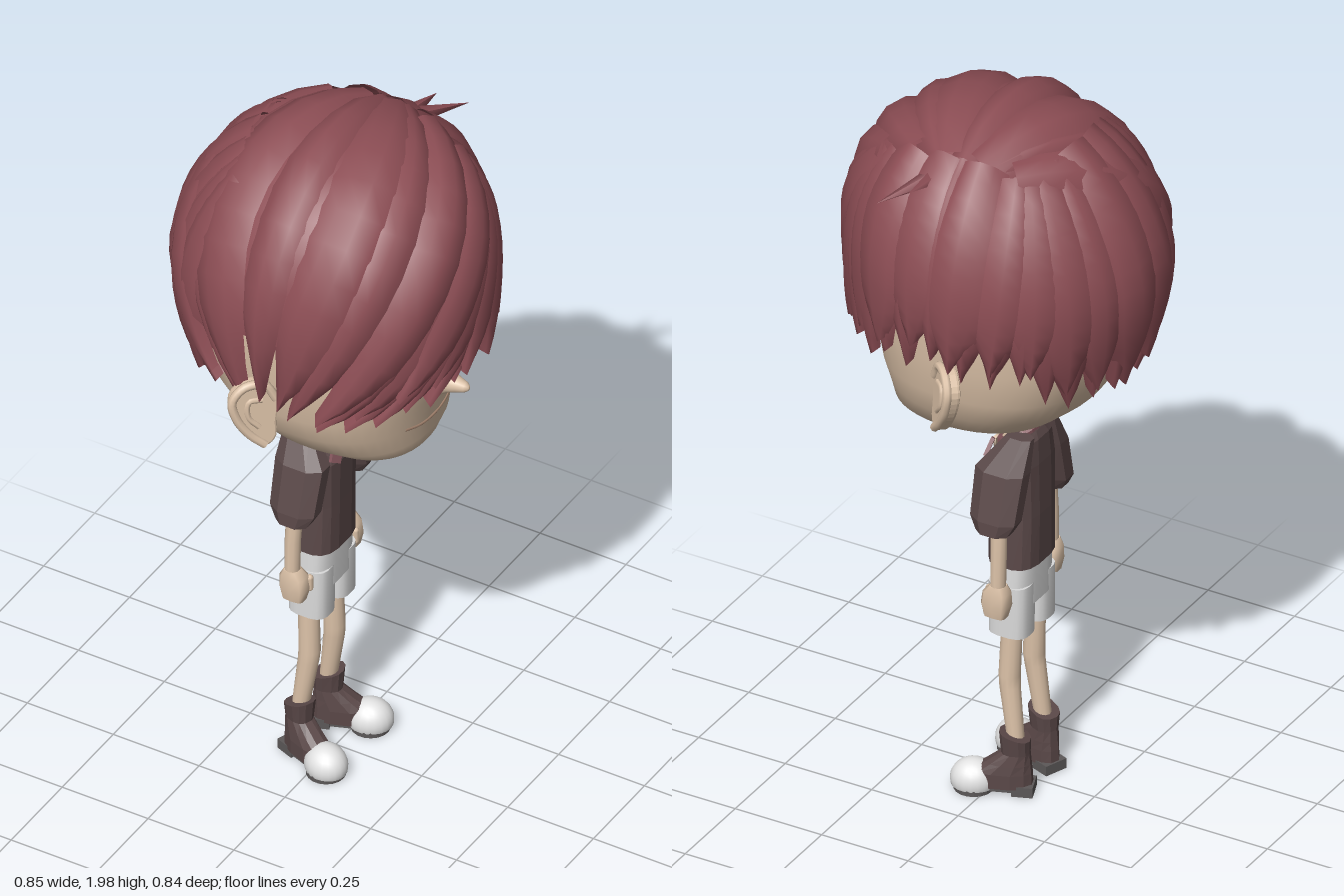
import * as THREE from 'three';

const mat = (name, color, opts = {}) => {
  const m = new THREE.MeshStandardMaterial({ color, ...opts });
  m.name = name;
  return m;
};
const flat = { flatShading: true };
const both = { side: THREE.DoubleSide };
const M = {
  skin: mat('skin', 0xdcc2a8),
  hair: mat('hair', 0x8c4d54, both),
  dark: mat('dark cloth', 0x5a4848, flat),
  shorts: mat('light cloth', 0xdadada),
  white: mat('white', 0xe4e4e4, both),
  iris: mat('iris', 0x85606c, both),
  collar: mat('collar', 0x84565c, { ...flat, ...both }),
  line: mat('mouth line', 0xa5846f),
  sole: mat('sole', 0x5c5858, flat),
};

let seed = 7;
const rnd = () => (seed = (seed * 16807) % 2147483647) / 2147483647;
const spow = (v, p) => Math.sign(v) * Math.abs(v) ** p;

function add(parent, name, geo, material, x = 0, y = 0, z = 0) {
  const m = new THREE.Mesh(geo, material);
  m.name = name;
  m.position.set(x, y, z);
  parent.add(m);
  return m;
}

function surface(pos, idx) {
  const g = new THREE.BufferGeometry();
  g.setAttribute('position', new THREE.Float32BufferAttribute(pos, 3));
  g.setIndex(idx);
  g.computeVertexNormals();
  return g;
}

// Stacks superellipse rings [y, centreX, centreZ, radiusX, radiusZ, tilt], bottom to top, with caps
function loft(rows, n = 12, p = 2) {
  const pos = [], idx = [];
  const ring = ([y, cx, cz, rx, rz, tilt = 0]) => {
    for (let j = 0; j < n; j++) {
      const a = ((j + 0.5) / n) * Math.PI * 2;
      const dz = rz * spow(Math.cos(a), 2 / p);
      pos.push(cx + rx * spow(Math.sin(a), 2 / p), y + tilt * dz, cz + dz);
    }
  };
  rows.forEach(ring);
  for (let i = 0; i < rows.length - 1; i++) for (let j = 0; j < n; j++) {
    const k = (j + 1) % n, a = i * n + j, b = i * n + k;
    idx.push(a, b, b + n, a, b + n, a + n);
  }
  [rows[0], rows[rows.length - 1]].forEach((r, top) => {
    const s = pos.length / 3;
    ring(r);
    pos.push(r[1], r[0], r[2]);
    for (let j = 0; j < n; j++) {
      const k = (j + 1) % n;
      idx.push(s + n, s + (top ? j : k), s + (top ? k : j));
    }
  });
  return surface(pos, idx);
}

// Head rings: y, half width, front z, back z
const HEAD = [
  [1.047, 0.05, 0.2, 0.04], [1.055, 0.11, 0.235, -0.02], [1.08, 0.175, 0.268, -0.09],
  [1.12, 0.23, 0.282, -0.18], [1.18, 0.272, 0.286, -0.25], [1.25, 0.3, 0.303, -0.295],
  [1.35, 0.315, 0.32, -0.33], [1.5, 0.33, 0.33, -0.35], [1.65, 0.32, 0.31, -0.33],
  [1.8, 0.22, 0.21, -0.23], [1.87, 0.04, 0.04, -0.04],
];
const HP = 2.3;
function faceZ(x, y) {
  const i = Math.max(1, HEAD.findIndex(r => r[0] >= y));
  const a = HEAD[i - 1], b = HEAD[i], t = (y - a[0]) / (b[0] - a[0]);
  const [, w, f, k] = a.map((v, j) => v + (b[j] - v) * t);
  return (f + k) / 2 + ((f - k) / 2) * (1 - Math.min(1, Math.abs(x / w)) ** HP) ** (1 / HP);
}

// Oval decal that follows the face
function faceDisc(cx, cy, rx, ry, lift) {
  const g = new THREE.RingGeometry(0.001, 1, 24, 4), p = g.attributes.position;
  for (let i = 0; i < p.count; i++) {
    const x = cx + p.getX(i) * rx, y = cy + p.getY(i) * ry;
    p.setXYZ(i, x, y, faceZ(x, y) + lift);
  }
  g.computeVertexNormals();
  return g;
}

// Hair volume: round in plan, flatter slope at the back
const HC = new THREE.Vector3(0, 1.55, 0);
function onHair(v, scale) {
  const ry = v.y > 0 ? 0.425 : 0.56, n = 2.1 + (0.3 * v.z) / v.length();
  const plan = Math.hypot(v.x / 0.395, v.z / 0.412);
  const k = (plan ** n + Math.abs(v.y / ry) ** n) ** (-1 / n);
  return v.clone().multiplyScalar(k * scale).add(HC);
}

// One ridged lock swept over the hair volume from start to a pointed end
function lock(start, end, width, lift) {
  const a = start.clone().normalize(), b = end.clone().normalize();
  const ang = a.angleTo(b), pos = [], idx = [], N = 12;
  const ridge = [-0.06, 0.0, 0.022, 0.006, -0.045];
  const at = t => a.clone().multiplyScalar(Math.sin((1 - t) * ang)).addScaledVector(b, Math.sin(t * ang)).divideScalar(Math.sin(ang));
  for (let i = 0; i <= N; i++) {
    const t = i / N, d = at(t);
    const side = d.clone().cross(at(t + 0.01).sub(at(t - 0.01))).normalize();
    const w = width * (t < 0.72 ? 0.65 + 0.35 * Math.min(1, t / 0.35) : Math.max(0.03, (1 - t) / 0.28) ** 0.8);
    for (let k = 0; k < 5; k++) {
      const v = d.clone().multiplyScalar(0.4).addScaledVector(side, (w * (k - 2)) / 4);
      pos.push(...onHair(v, lift + ridge[k]).toArray());
      if (i < N && k < 4) {
        const q = i * 5 + k;
        idx.push(q, q + 5, q + 6, q, q + 6, q + 1);
      }
    }
  }
  return surface(pos, idx);
}

function buildHair(root) {
  const hair = new THREE.Group();
  hair.name = 'hair';
  root.add(hair);
  const cap = new THREE.SphereGeometry(1, 32, 16, 0, Math.PI * 2, 0, 1.62), p = cap.attributes.position;
  for (let i = 0; i < p.count; i++) {
    const v = onHair(new THREE.Vector3().fromBufferAttribute(p, i), 0.955);
    p.setXYZ(i, v.x, v.y, v.z);
  }
  cap.computeVertexNormals();
  add(hair, 'hairCap', cap, M.hair);

  // Tip height every 30 degrees, from the back round the right cheek, face and left cheek
  const tips = [1.25, 1.23, 1.32, 1.32, 1.27, 1.35, 1.38, 1.38, 1.35, 1.39, 1.36, 1.23, 1.25];
  const layers = [['innerLock', 32, 0.975, 0.14], ['outerLock', 24, 1.0, 0.2]];
  layers.forEach(([name, count, lift, width], layer) => {
    for (let i = 0; i < count; i++) {
      const u = ((i + 0.5 * layer) / count) * 12, f = Math.floor(u);
      const y = tips[f] + (tips[f + 1] - tips[f]) * (u - f) + 0.04 * layer + (rnd() - 0.5) * 0.07;
      const az = (u * 30 - 180) * Math.PI / 180, c = Math.cos(az);
      // Back locks fan out from behind the crown, the rest sweep over from the parting
      const back = c < -0.55;
      const start = new THREE.Vector3(back ? 0.28 * Math.sin(az) : 0.22, 0.36, back ? -0.2 : THREE.MathUtils.clamp(0.4 * c, -0.24, 0.28));
      const end = new THREE.Vector3(0.36 * Math.sin(az), y - HC.y, 0.37 * c);
      add(hair, name, lock(start, end, width * (0.85 + rnd() * 0.3), lift + rnd() * 0.03), M.hair);
    }
  });
  // Stray tuft at the parting
  [[0.4, 1.83, 0.15], [0.36, 1.86, 0.08]].forEach(([x, y, z]) => {
    const from = new THREE.Vector3(0.23, 1.86, 0.06), to = new THREE.Vector3(x, y, z);
    const dir = to.clone().sub(from);
    const tuft = add(hair, 'tuft', new THREE.ConeGeometry(0.028, dir.length(), 5), M.hair);
    tuft.position.copy(from).addScaledVector(dir, 0.5);
    tuft.quaternion.setFromUnitVectors(new THREE.Vector3(0, 1, 0), dir.normalize());
  });
}

function buildHead(root) {
  add(root, 'head', loft(HEAD.map(([y, w, f, b]) => [y, 0, (f + b) / 2, w, (f - b) / 2]), 48, HP), M.skin);
  add(root, 'neck', new THREE.CylinderGeometry(0.028, 0.03, 0.16, 12), M.skin, 0, 1.02, -0.03);
  // Flared, pointed nose
  const bridge = [[0.055, 0], [0.04, 0.014], [0.029, 0.032], [0.021, 0.055], [0.014, 0.076], [0.007, 0.085], [0, 0.087]];
  const nose = add(root, 'nose', new THREE.LatheGeometry(bridge.map(q => new THREE.Vector2(...q)), 16), M.skin, 0, 1.285, 0.302);
  nose.rotation.x = Math.PI / 2;
  const smile = [-0.115, -0.06, 0, 0.06, 0.115].map(x => {
    const y = 1.165 + 1.3 * x * x;
    return new THREE.Vector3(x, y, faceZ(x, y));
  });
  add(root, 'mouth', new THREE.TubeGeometry(new THREE.CatmullRomCurve3(smile), 20, 0.004, 6), M.line);

  const curve = (pts, z, closed = false) => new THREE.CatmullRomCurve3(pts.map(([x, y]) => new THREE.Vector3(x, y, z)), closed);
  const outline = [[-0.035, -0.03], [-0.045, 0.04], [-0.02, 0.085], [0.03, 0.09], [0.066, 0.055], [0.06, 0], [0.03, -0.055], [-0.005, -0.092], [-0.03, -0.075]];
  const earShape = new THREE.Shape(curve(outline, 0, true).getPoints(32).map(q => new THREE.Vector2(q.x, q.y)));
  const earGeo = new THREE.ExtrudeGeometry(earShape, { depth: 0.02, bevelSize: 0.006, bevelThickness: 0.008, bevelSegments: 2 });
  const rimGeo = new THREE.TubeGeometry(curve(outline.slice(1, 8), 0.026), 28, 0.012, 8);
  const foldGeo = new THREE.TubeGeometry(curve([[-0.01, 0.045], [0.025, 0.045], [0.03, 0], [0.005, -0.035]], 0.028), 16, 0.008, 6);
  for (const s of [-1, 1]) {
    add(root, 'eyeWhite', faceDisc(s * 0.127, 1.395, 0.06, 0.078, 0.004), M.white);
    add(root, 'iris', faceDisc(s * 0.127 + 0.025, 1.375, 0.029, 0.058, 0.008), M.iris);
    // Ear with a raised rim, turned outwards
    const ear = new THREE.Group();
    ear.name = 'ear';
    ear.position.set(s * 0.342, 1.285, -0.025);
    ear.rotation.set(-0.1, s * 0.8, 0);
    root.add(ear);
    const parts = new THREE.Group();
    parts.name = 'earParts';
    parts.scale.x = s;
    ear.add(parts);
    add(parts, 'earBowl', earGeo, M.skin);
    add(parts, 'earRim', rimGeo, M.skin);
    add(parts, 'earFold', foldGeo, M.skin);
  }
}

function buildBody(root) {
  add(root, 'shirt', loft([[0.655, 0, -0.04, 0.092, 0.068], [0.8, 0, -0.04, 0.086, 0.07],
    [0.94, 0, -0.038, 0.09, 0.07, -0.1], [0.985, 0, -0.04, 0.078, 0.064, -0.5], [1.005, 0, -0.042, 0.058, 0.052, -0.6]], 16, 3), M.dark);
  // Open collar with bare neckline
  const collar = add(root, 'collar', new THREE.TorusGeometry(0.052, 0.012, 6, 16), M.collar, 0, 1.008, -0.034);
  collar.rotation.x = Math.PI / 2 + 0.55;
  const chest = add(root, 'neckline', new THREE.CylinderGeometry(0.046, 0.046, 0.008, 16), M.skin, 0, 1.012, -0.032);
  chest.rotation.x = 0.55;
  const vee = add(root, 'openNeck', new THREE.CylinderGeometry(0.034, 0.034, 0.008, 3), M.skin, 0, 0.972, 0.027);
  vee.rotation.x = Math.PI / 2 - 0.35;
  for (const s of [-1, 1]) {
    const flap = add(root, 'collarFlap', new THREE.BoxGeometry(0.032, 0.05, 0.01), M.collar, s * 0.045, 0.967, 0.028);
    flap.rotation.set(-0.35, s * 0.25, s * 0.6);
    add(root, 'sleeve', loft([[0.79, s * 0.138, -0.04, 0.037, 0.048], [0.825, s * 0.13, -0.04, 0.043, 0.068],
      [0.95, s * 0.095, -0.04, 0.045, 0.073], [1.035, s * 0.06, -0.07, 0.022, 0.038]], 8, 2.4), M.dark);
    add(root, 'arm', loft([[0.6, s * 0.133, -0.048, 0.02, 0.02], [0.72, s * 0.13, -0.048, 0.021, 0.021],
      [0.84, s * 0.122, -0.045, 0.022, 0.022]], 10), M.skin);
    add(root, 'hand', loft([[0.54, s * 0.133, -0.042, 0.02, 0.03], [0.575, s * 0.13, -0.042, 0.029, 0.038],
      [0.61, s * 0.131, -0.044, 0.026, 0.035], [0.63, s * 0.133, -0.048, 0.02, 0.02]], 10, 3.5), M.skin);
    add(root, 'thumb', new THREE.CapsuleGeometry(0.01, 0.03, 3, 8), M.skin, s * 0.112, 0.585, -0.01);
    add(root, 'shortsLeg', loft([[0.455, s * 0.051, -0.04, 0.045, 0.055], [0.6, s * 0.05, -0.04, 0.045, 0.056]], 16, 3), M.shorts);
    add(root, 'leg', loft([[0.15, s * 0.068, -0.062, 0.022, 0.023], [0.3, s * 0.063, -0.042, 0.027, 0.028],
      [0.33, s * 0.061, -0.04, 0.028, 0.029], [0.47, s * 0.058, -0.045, 0.028, 0.028]], 12), M.skin);
    // Ankle boot, turned out
    const shoe = new THREE.Group();
    shoe.name = 'shoe';
    shoe.position.set(s * 0.072, 0, -0.062);
    shoe.rotation.y = s * 0.36;
    root.add(shoe);
    add(shoe, 'boot', loft([[0.02, 0, 0.035, 0.038, 0.082], [0.06, 0, 0.033, 0.038, 0.078],
      [0.085, 0, 0.016, 0.035, 0.058], [0.115, 0, -0.002, 0.031, 0.037], [0.165, 0, 0, 0.037, 0.04, 0.3]], 12, 2.4), M.dark);
    add(shoe, 'toeCap', new THREE.SphereGeometry(1, 20, 14, 0, Math.PI * 2, 0, Math.PI / 2 + 0.3), M.white, 0, 0.028, 0.105).scale.set(0.053, 0.055, 0.06);
    add(shoe, 'toeSole', new THREE.CylinderGeometry(0.051, 0.051, 0.016, 18), M.sole, 0, 0.008, 0.105);
    add(shoe, 'midSole', new THREE.BoxGeometry(0.064, 0.016, 0.09), M.sole, 0, 0.018, 0.035);
    add(shoe, 'heel', new THREE.BoxGeometry(0.066, 0.028, 0.055), M.sole, 0, 0.014, -0.022);
  }
  add(root, 'shortsHips', loft([[0.54, 0, -0.04, 0.095, 0.057], [0.67, 0, -0.04, 0.088, 0.057]], 20, 3), M.shorts);
}

export function createModel() {
  const group = new THREE.Group();
  group.name = 'figure';
  const body = new THREE.Group();
  body.name = 'boy';
  body.rotation.y = Math.PI / 2; // the figure looks along +x
  group.add(body);
  buildHead(body);
  buildHair(body);
  buildBody(body);
  return group;
}
